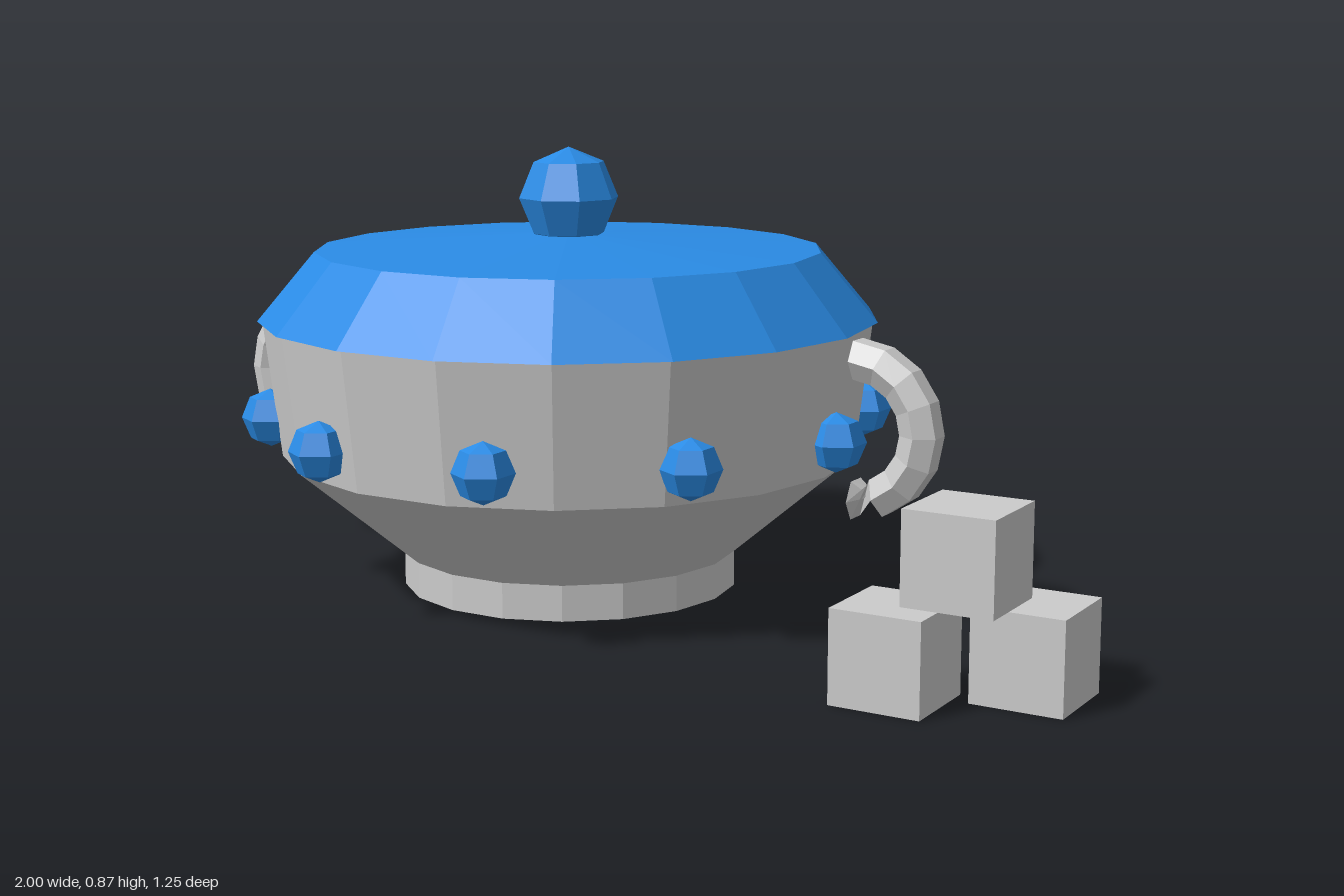
import * as THREE from 'three';

const grey = new THREE.MeshStandardMaterial({ color: 0xcccccc, flatShading: true, side: THREE.DoubleSide });
const blue = new THREE.MeshStandardMaterial({ color: 0x2a8be5, flatShading: true });

function add(parent, name, geometry, material, x = 0, y = 0, z = 0) {
  const mesh = new THREE.Mesh(geometry, material);
  mesh.name = name;
  mesh.position.set(x, y, z);
  parent.add(mesh);
  return mesh;
}

// 18-sided turned shape with a corner on the x axis
function turned(profile) {
  const points = profile.map(([r, y]) => new THREE.Vector2(r, y));
  return new THREE.LatheGeometry(points, 18).rotateY(Math.PI / 2);
}

// Half ring with a six-sided section; the last segment is pinched by a half twist
function handleGeometry(radius, tube, segments) {
  const section = [];
  for (let j = 0; j <= 6; j++) {
    const a = -Math.PI / 2 + (j * Math.PI) / 3;
    section.push(new THREE.Vector2(radius + tube * Math.cos(a), tube * Math.sin(a)));
  }
  const geometry = new THREE.LatheGeometry(section, segments, 0, Math.PI);
  const pos = geometry.attributes.position;
  const first = segments * 7;
  const ring = [];
  for (let j = 0; j < 6; j++) ring.push(new THREE.Vector3().fromBufferAttribute(pos, first + j));
  for (let j = 0; j <= 6; j++) {
    const p = ring[(j + 3) % 6];
    pos.setXYZ(first + j, p.x, p.y, p.z);
  }
  return geometry.rotateX(-Math.PI / 2);
}

export function createModel() {
  const model = new THREE.Group();
  model.name = 'lidded bowl with blocks';

  const bowl = new THREE.Group();
  bowl.name = 'bowl';
  bowl.position.x = -0.193;
  model.add(bowl);

  // Foot, flared body and lid
  add(bowl, 'body', turned([[0, 0], [0.335, 0], [0.335, 0.07], [0.572, 0.27], [0.605, 0.54], [0, 0.54]]), grey);
  add(bowl, 'lid', turned([[0, 0.539], [0.615, 0.539], [0.502, 0.673], [0, 0.705]]), blue);
  add(bowl, 'lidKnob', new THREE.SphereGeometry(0.1, 8, 4), blue, 0, 0.773, 0);

  // Ten studs around the widest band
  const studGeometry = new THREE.SphereGeometry(0.058, 6, 4).rotateY(Math.PI / 2);
  for (let i = 0; i < 10; i++) {
    const a = (i * Math.PI) / 5;
    add(bowl, 'stud', studGeometry, blue, 0.595 * Math.cos(a), 0.34, 0.595 * Math.sin(a));
  }

  // Handles, the second turned half way round
  const handle = handleGeometry(0.133, 0.042, 8);
  add(bowl, 'leftHandle', handle, grey, 0.637, 0.37, 0);
  add(bowl, 'rightHandle', handle, grey, -0.637, 0.37, 0).rotation.z = Math.PI;

  // Stack of three blocks
  const size = 0.168;
  const blockGeometry = new THREE.BoxGeometry(size, size, size);
  for (const [x, y, z] of [[0.716, 0.5, 0.403], [0.915, 0.5, 0.274], [0.815, 1.5, 0.338]]) {
    add(model, 'block', blockGeometry, grey, x, y * size, z);
  }
  return model;
}
